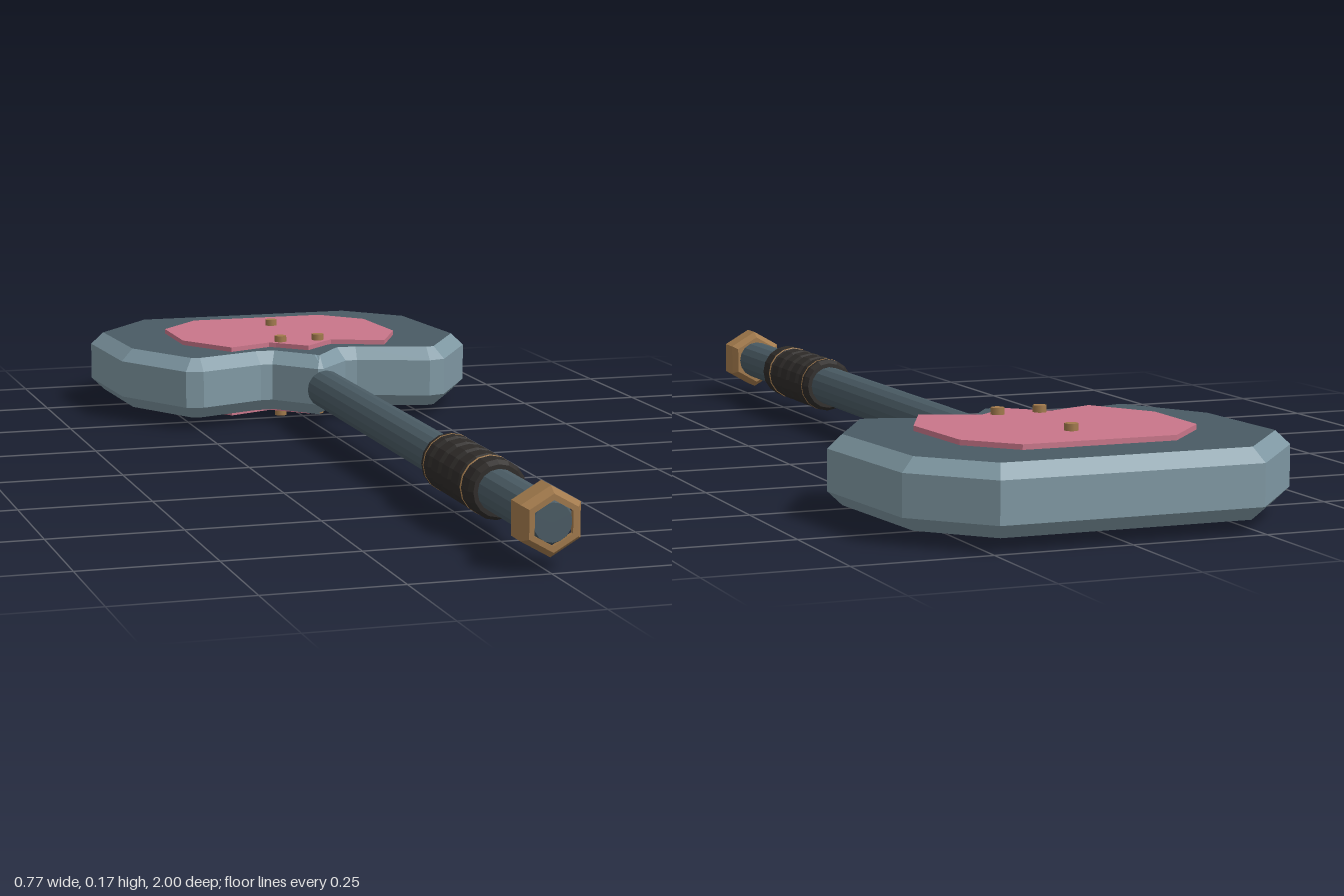
import * as THREE from 'three';

const mat = (name, color) => {
  const m = new THREE.MeshStandardMaterial({ color });
  m.name = name;
  return m;
};

export function createModel() {
  const steel = mat('dark steel', 0x4a5b64);
  const rim = mat('light steel rim', 0x7f98a3);
  const pink = mat('pink inlay', 0xc9768a);
  const bronze = mat('bronze', 0xa27a4c);
  const leather = mat('black leather', 0x2e2b29);
  const midY = 0.085, shaftX = 0.003;

  const group = new THREE.Group();
  const add = (name, geometry, material) => {
    const mesh = new THREE.Mesh(geometry, material);
    mesh.name = name;
    group.add(mesh);
    return mesh;
  };
  // Outline points are [x, z]; the slab is laid flat, centred on the middle height
  const slab = (points, height, bevel) => {
    const shape = new THREE.Shape(points.map(([x, z]) => new THREE.Vector2(x, -z)));
    const g = new THREE.ExtrudeGeometry(shape, {
      depth: height - 2 * bevel, bevelEnabled: bevel > 0, bevelSegments: 1,
      bevelThickness: bevel, bevelSize: bevel, bevelOffset: -bevel,
    });
    return g.rotateX(-Math.PI / 2).translate(0, bevel - height / 2, 0);
  };
  // Profile points are [radius, z], turned around the shaft axis
  const turned = (points, sides) =>
    new THREE.LatheGeometry(points.map(([r, z]) => new THREE.Vector2(r, z)), sides)
      .rotateX(Math.PI / 2).translate(shaftX, midY, 0);
  const faceted = (g) => {
    const flat = g.toNonIndexed();
    flat.computeVertexNormals();
    return flat;
  };

  // Bevelled head: dark faces, light rim
  add('head', slab([
    [-0.245, -1], [0.24, -1], [0.36, -0.87], [0.385, -0.58], [0.285, -0.41], [0.25, -0.4],
    [0.105, -0.45], [0.08, -0.45], [0.006, -0.363], [-0.006, -0.363],
    [-0.08, -0.45], [-0.105, -0.45], [-0.24, -0.4], [-0.275, -0.41], [-0.372, -0.58], [-0.385, -0.83],
  ], 0.125, 0.025), [steel, rim]).position.y = midY;

  // Inlay plates and rivets on both faces
  const plate = slab([
    [-0.145, -0.867], [0.142, -0.867], [0.22, -0.78], [0.232, -0.6], [0.175, -0.48],
    [0.068, -0.52], [0.055, -0.51], [0, -0.455], [-0.055, -0.51], [-0.068, -0.52],
    [-0.16, -0.48], [-0.235, -0.6], [-0.235, -0.765],
  ], 0.0095, 0);
  const rivet = new THREE.CylinderGeometry(0.0125, 0.0125, 0.014, 10);
  for (const side of [1, -1]) {
    const label = side > 0 ? 'upper' : 'lower';
    add(label + 'Inlay', plate, pink).position.y = midY + side * 0.0675;
    for (const [x, z] of [[-0.041, -0.527], [0.041, -0.527], [0, -0.752]])
      add(label + 'Rivet', rivet, bronze).position.set(x, midY + side * 0.078, z);
  }

  // Shaft
  add('shaft', faceted(turned([
    [0, -0.342], [0.034, -0.342], [0.039, -0.335], [0.039, 0.985], [0.034, 0.995], [0, 0.995],
  ], 16)), steel);

  // Grip wrapped in five bands
  const wrap = [[0.038, 0.452]];
  for (let i = 0; i < 5; i++) {
    const z = 0.452 + i * 0.0556;
    wrap.push([0.047, z], [0.054, z + 0.01], [0.054, z + 0.045], [0.047, z + 0.0556]);
  }
  wrap.push([0.038, 0.73]);
  add('grip', faceted(turned(wrap, 16)), leather);
  for (const z of [0.474, 0.68])
    add('gripStitch', turned([[0.053, z - 0.002], [0.0546, z - 0.0015],
      [0.0546, z + 0.0015], [0.053, z + 0.002]], 16), bronze);

  // Chamfered hexagonal pommel ring with the shaft end showing
  add('pommel', faceted(turned([
    [0.038, 0.924], [0.05, 0.924], [0.061, 0.938], [0.061, 0.984], [0.05, 1], [0.039, 1], [0.039, 0.99],
  ], 6)), bronze);

  return group;
}
